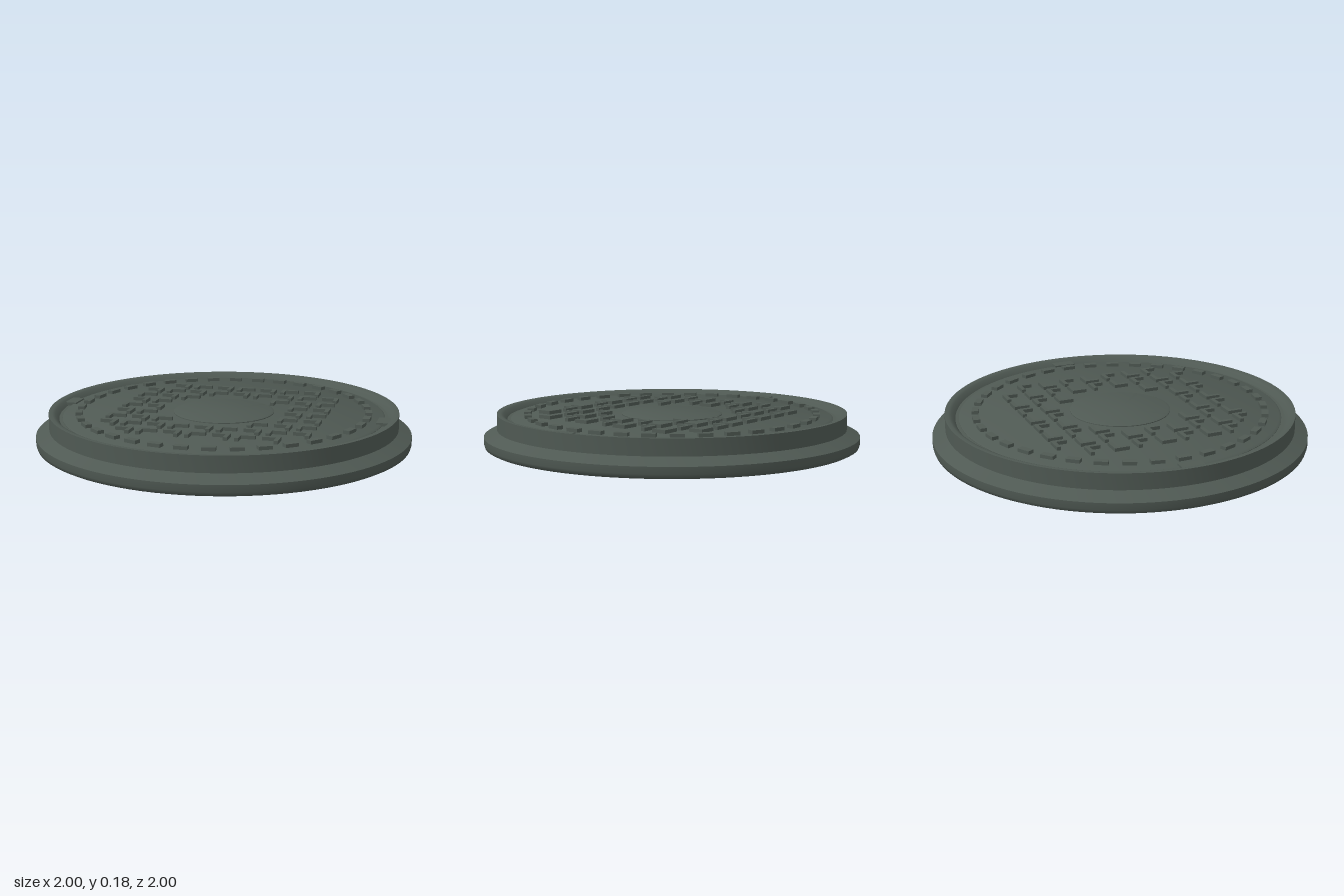
import * as THREE from 'three';
import { toCreasedNormals } from 'three/addons/utils/BufferGeometryUtils.js';

export function createModel() {
  const model = new THREE.Group();
  model.name = 'manholeCover';
  const iron = new THREE.MeshStandardMaterial({ color: 0x4f5953 });
  iron.name = 'cast iron';

  const LID_TOP = 0.16;

  const add = (name, geometry, parent = model) => {
    const mesh = new THREE.Mesh(geometry, iron);
    mesh.name = name;
    parent.add(mesh);
    return mesh;
  };
  const turned = (name, points) => {
    const profile = points.map(([r, y]) => new THREE.Vector2(r, y));
    return add(name, toCreasedNormals(new THREE.LatheGeometry(profile, 96), 0.85));
  };
  const group = (name) => {
    const g = new THREE.Group();
    g.name = name;
    model.add(g);
    return g;
  };

  // Flanged outer frame, open underneath, with a sloped inner lip
  turned('frame', [
    [0.82, 0.12], [0.82, 0], [0.98, 0], [0.995, 0.008], [1, 0.025], [1, 0.06],
    [0.93, 0.095], [0.93, 0.18], [0.91, 0.18], [0.895, 0.174], [0.875, 0.15], [0.84, 0.15],
  ]);

  // Lid plate with a chamfered edge, and the raised plain disc in its middle
  turned('lid', [[0, 0.075], [0.857, 0.075], [0.857, 0.152], [0.845, LID_TOP], [0, LID_TOP]]);
  turned('centreDisc', [[0.268, LID_TOP - 0.01], [0.268, LID_TOP + 0.004], [0.256, LID_TOP + 0.009], [0, LID_TOP + 0.009]]);

  // Ring of grip blocks around the edge
  const blocks = group('gripBlocks');
  const blockGeo = new THREE.BoxGeometry(0.07, 0.03, 0.036);
  for (let i = 0; i < 36; i++) {
    const a = (i * Math.PI) / 18;
    const block = add('gripBlock', blockGeo, blocks);
    block.position.set(Math.sin(a) * 0.77, LID_TOP + 0.003, Math.cos(a) * 0.77);
    block.rotation.y = a;
  }

  // Angle-shaped treads, with the leg alternating between left and right
  const w = 0.046, t = 0.022, depth = 0.08;
  const treadGeo = (side) => {
    const outline = [[-w, 0], [w, 0], [w, -t], [-w + t, -t], [-w + t, -depth], [-w, -depth]];
    const shape = new THREE.Shape(outline.map(([x, y]) => new THREE.Vector2(x * side, y)));
    const geo = new THREE.ExtrudeGeometry(shape, { depth: 0.026, bevelEnabled: false });
    return geo.rotateX(-Math.PI / 2);
  };
  const leftTread = treadGeo(1);
  const rightTread = treadGeo(-1);
  const treads = group('treads');
  const step = 0.127;
  for (let row = -4; row <= 4; row++) {
    for (let col = -4; col <= 4; col++) {
      const d = row * row + col * col;
      if (d < 8 || d > 25) continue;
      const tread = add('tread', (row + col) % 2 === 0 ? leftTread : rightTread, treads);
      tread.position.set(col * step, LID_TOP - 0.008, row * step - 0.012);
    }
  }

  // Lifting pads bridging the lid and frame on both sides
  for (const side of [-1, 1]) {
    const pad = add(side > 0 ? 'leftLiftPad' : 'rightLiftPad', new THREE.BoxGeometry(0.07, 0.03, 0.12));
    pad.position.set(side * 0.861, LID_TOP - 0.007, 0);
  }

  return model;
}
